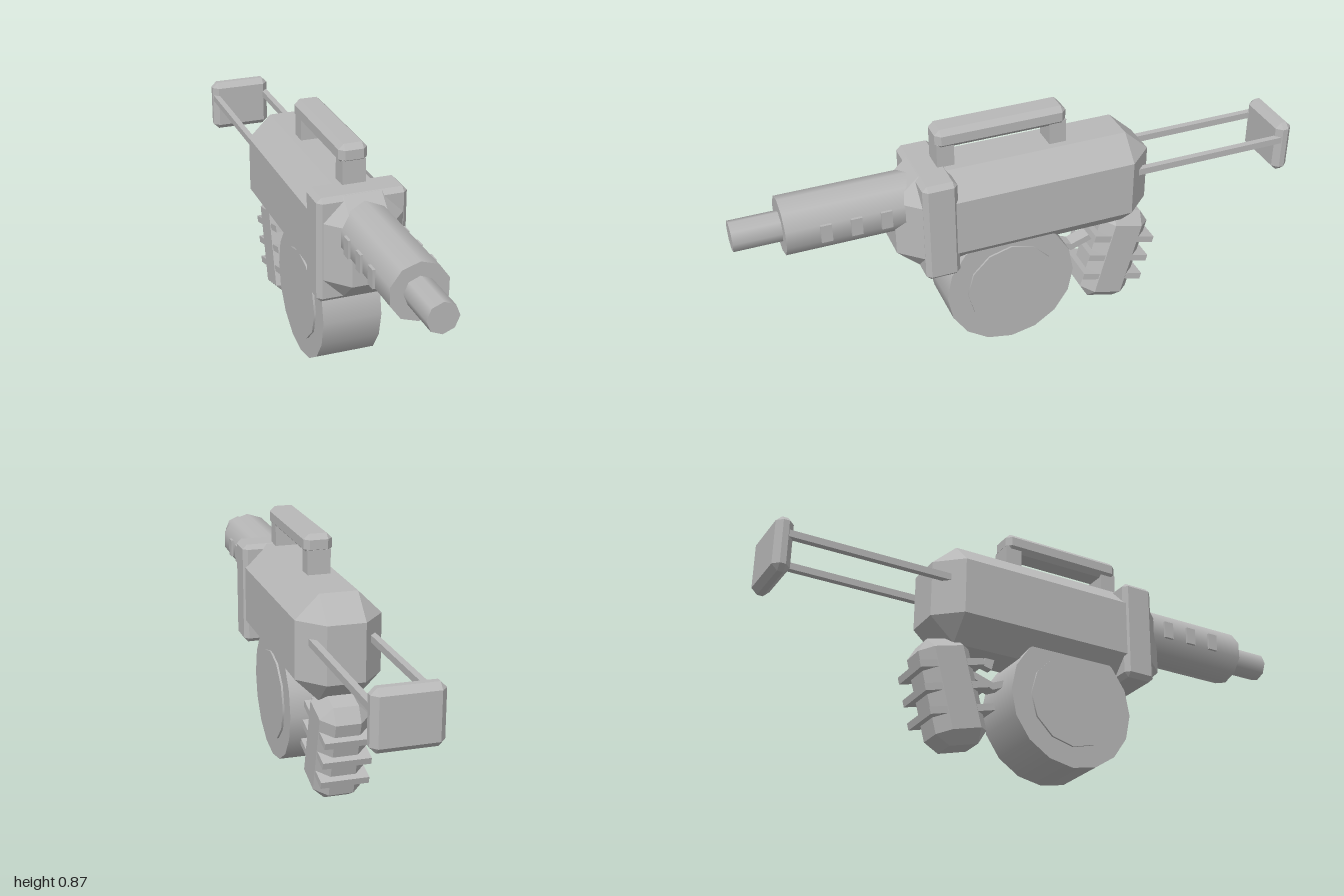
import * as THREE from 'three';
import { ConvexGeometry } from 'three/addons/geometries/ConvexGeometry.js';

export function createModel() {
  const model = new THREE.Group();
  const grey = new THREE.MeshStandardMaterial({ color: 0xb8b8b8 });
  grey.name = 'grey';

  const add = (name, geometry, x, y, z, parent = model) => {
    const mesh = new THREE.Mesh(geometry, grey);
    mesh.name = name;
    mesh.position.set(x, y, z);
    parent.add(mesh);
    return mesh;
  };
  const box = (w, h, d) => new THREE.BoxGeometry(w, h, d);

  // Box with every edge cut off and a triangle at each corner
  const bevelBox = (w, h, d, b, bz = b) => {
    const points = [];
    for (const sx of [-1, 1]) for (const sy of [-1, 1]) for (const sz of [-1, 1]) {
      const x = w / 2, y = h / 2, z = d / 2;
      for (const [px, py, pz] of [[x, y - b, z - bz], [x - b, y, z - bz], [x - b, y - b, z]])
        points.push(new THREE.Vector3(px * sx, py * sy, pz * sz));
    }
    return new ConvexGeometry(points);
  };

  // Cylinder along z
  const tubeZ = (r, length, sides) => new THREE.CylinderGeometry(r, r, length, sides).rotateX(Math.PI / 2);
  // Cylinder along x, with a corner at the bottom
  const drumX = (r, length, sides) =>
    new THREE.CylinderGeometry(r, r, length, sides).rotateX(Math.PI / 2).rotateY(Math.PI / 2);

  // Main body and front collar
  add('body', bevelBox(0.292, 0.362, 0.916, 0.081, 0.088), 0, 0.55, 0.018);
  add('collar', bevelBox(0.306, 0.368, 0.12, 0.016), 0, 0.549, 0.34);

  // Barrel, muzzle and side vents
  add('barrel', tubeZ(0.098, 0.44, 10), 0, 0.615, 0.62);
  add('muzzle', tubeZ(0.052, 0.2, 8), 0, 0.615, 0.9);
  for (const z of [0.51, 0.61, 0.71]) add('barrelVent', box(0.204, 0.063, 0.037), 0, 0.615, z);

  // Carrying handle
  add('handleBar', bevelBox(0.098, 0.069, 0.46, 0.018), 0, 0.8325, 0.088);
  for (const z of [0.285, -0.112]) add('handlePost', box(0.08, 0.11, 0.06), 0, 0.76, z);

  // Drum with raised end caps
  add('drum', drumX(0.235, 0.208, 16), 0, 0.235, 0.083);
  add('drumCaps', drumX(0.162, 0.222, 12), 0, 0.235, 0.083);

  // Tilted rear grip with ribs
  const grip = new THREE.Group();
  grip.name = 'grip';
  grip.position.set(0, 0.208, -0.34);
  grip.rotation.x = -0.26;
  model.add(grip);
  add('gripCore', bevelBox(0.17, 0.37, 0.19, 0.042), 0, 0, 0, grip);
  for (const y of [0.085, 0.005, -0.075]) add('gripRib', box(0.166, 0.024, 0.24), 0, y, 0, grip);

  // Trigger and its guard
  add('trigger', box(0.03, 0.06, 0.035), 0, 0.365, -0.19).rotation.x = 0.25;
  const guard = new THREE.Shape([
    [-0.12, 0.305], [-0.18, 0.28], [-0.27, 0.31], [-0.27, 0.285], [-0.18, 0.254], [-0.12, 0.28],
  ].map(([z, y]) => new THREE.Vector2(-z, y)));
  const guardGeometry = new THREE.ExtrudeGeometry(guard, { depth: 0.05, bevelEnabled: false });
  guardGeometry.rotateY(Math.PI / 2);
  add('triggerGuard', guardGeometry, -0.025, 0, 0);

  // Two-rod stock with shoulder plate
  for (const side of [-1, 1]) add('stockRod', box(0.022, 0.024, 0.59), side * 0.1, 0.586, -0.665);
  add('shoulderPlate', bevelBox(0.226, 0.195, 0.06, 0.02), 0, 0.551, -0.97);

  return model;
}
